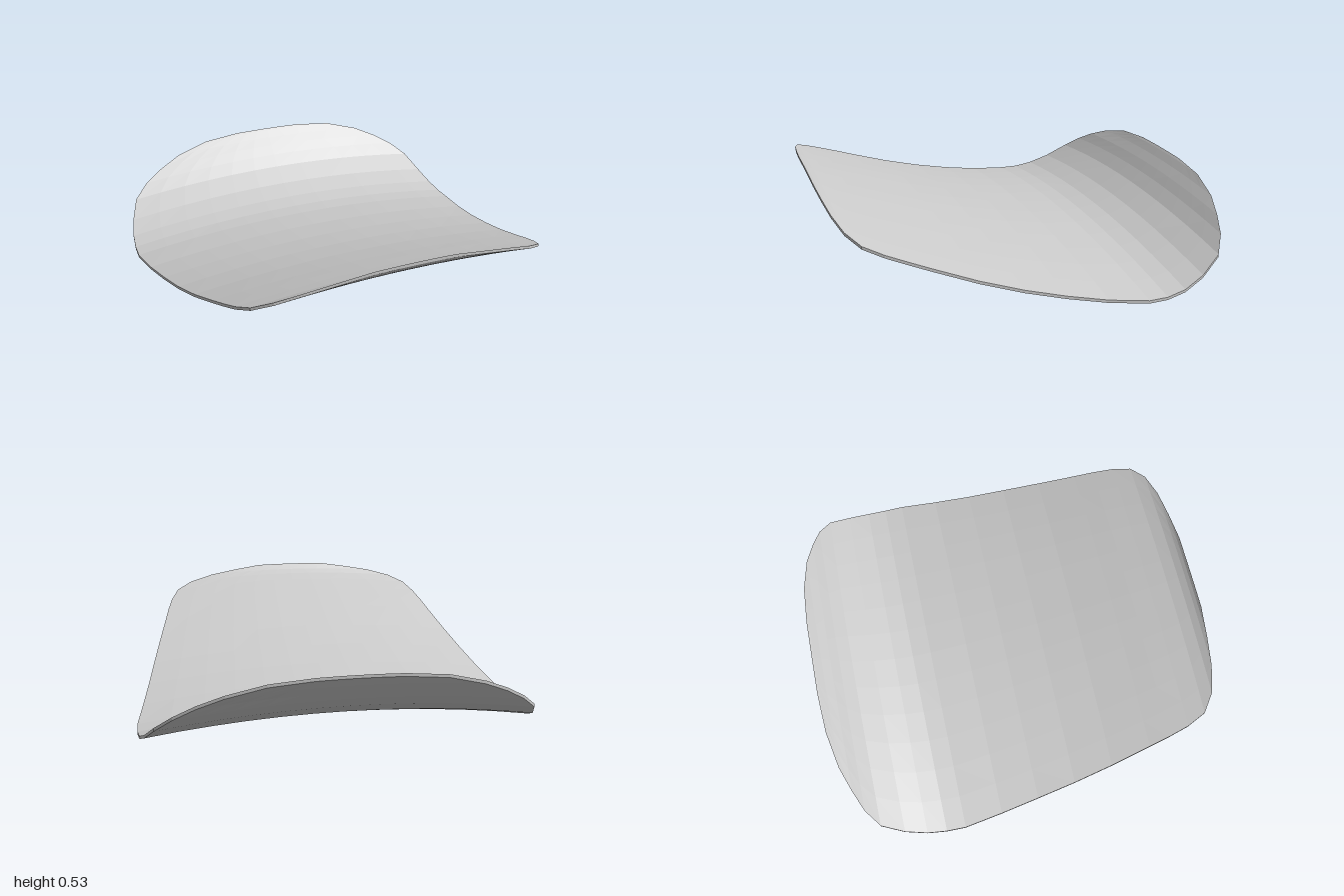
import * as THREE from 'three';

const THICKNESS = 0.015;
const ARCH = 0.08; // how far the sides droop, times x squared

// cross rows from back to front: [z, half width, height on the centre line]
const ROWS = [
  [-1, 0.2, 0.395], [-0.99, 0.4, 0.385], [-0.96, 0.58, 0.35], [-0.92, 0.7, 0.31],
  [-0.88, 0.8, 0.265], [-0.82, 0.88, 0.21], [-0.71, 0.925, 0.145], [-0.6, 0.95, 0.105],
  [-0.5, 0.96, 0.09], [-0.4, 0.962, 0.092], [-0.2, 0.935, 0.117], [0, 0.905, 0.157],
  [0.2, 0.875, 0.207], [0.4, 0.84, 0.268], [0.6, 0.8, 0.34], [0.7, 0.78, 0.378],
  [0.8, 0.755, 0.415], [0.89, 0.715, 0.45], [0.945, 0.63, 0.478], [0.975, 0.5, 0.5],
  [0.99, 0.35, 0.515], [1, 0.2, 0.53],
];

export function createModel() {
  const group = new THREE.Group();
  group.name = 'curvedPanel';

  // a thin slab, reshaped row by row into an arched, upswept shell
  const last = ROWS.length - 1;
  const geometry = new THREE.BoxGeometry(2, THICKNESS, 2, 12, 1, last);
  const pos = geometry.attributes.position;
  for (let i = 0; i < pos.count; i++) {
    const row = Math.round((pos.getZ(i) + 1) / 2 * last);
    const [z, halfWidth, height] = ROWS[row];
    const x = pos.getX(i) * halfWidth;
    const drop = pos.getY(i) < 0 ? THICKNESS : 0;
    pos.setXYZ(i, x, height - ARCH * x * x - drop, z);
  }
  geometry.computeVertexNormals();

  const shell = new THREE.Mesh(
    geometry,
    new THREE.MeshStandardMaterial({ color: 0xcccccc, flatShading: true }),
  );
  shell.name = 'shell';
  group.add(shell);
  return group;
}
